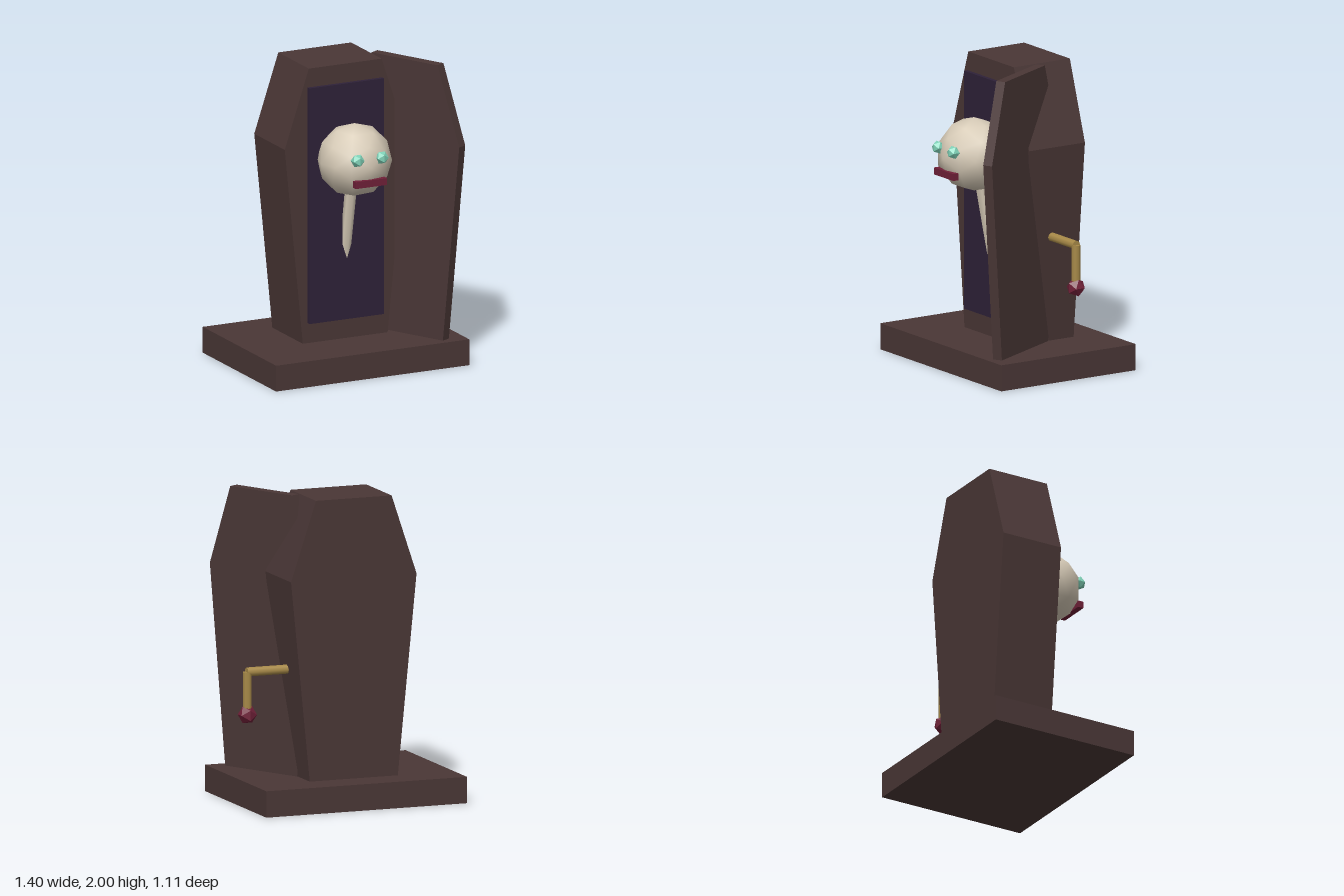
import * as THREE from 'three';

const material = (name, color) => {
  const m = new THREE.MeshStandardMaterial({ color });
  m.name = name;
  return m;
};

export function createModel() {
  const model = new THREE.Group();
  model.name = 'coffinToy';
  const wood = material('darkWood', 0x4a3736);
  const lining = material('purpleLining', 0x2e2138);
  const bone = material('bone', 0xd8ccb8);
  const mint = material('mintGreen', 0x7fd0b6);
  const red = material('darkRed', 0x702038);
  const brass = material('brass', 0xa88a48);

  const add = (name, geometry, mat, x, y, z) => {
    const mesh = new THREE.Mesh(geometry, mat);
    mesh.name = name;
    mesh.position.set(x, y, z);
    model.add(mesh);
    return mesh;
  };

  // Six-sided coffin outline, used for both the body and the lid
  const outline = new THREE.Shape([
    [-0.305, 0.17], [0.305, 0.17], [0.435, 1.48],
    [0.262, 2], [-0.262, 2], [-0.435, 1.48],
  ].map(([x, y]) => new THREE.Vector2(x, y)));
  const board = (depth) =>
    new THREE.ExtrudeGeometry(outline, { depth, bevelEnabled: false });

  // Plinth, coffin and its lining
  add('base', new THREE.BoxGeometry(1.39, 0.172, 1.04), wood, -0.005, 0.086, -0.038);
  add('coffinBody', board(0.433), wood, -0.005, 0, -0.34);
  add('liningPanel', new THREE.BoxGeometry(0.536, 1.57, 0.06), lining, -0.007, 1.09, 0.09);

  // Open lid swung out to the side
  const lid = add('lid', board(0.065).translate(0, 0, -0.065), wood, 0.386, 0, 0.1625);
  lid.rotation.y = -1.1;

  // Head on a slanted spine that runs back into the lining
  add('head', new THREE.IcosahedronGeometry(0.242, 1), bone, -0.005, 1.395, 0.225);
  const top = new THREE.Vector3(-0.006, 1.36, 0.207);
  const bottom = new THREE.Vector3(-0.006, 0.62, 0.067);
  const axis = top.clone().sub(bottom);
  const mid = top.clone().add(bottom).multiplyScalar(0.5);
  const spine = add('spine', new THREE.CylinderGeometry(0.039, 0.035, axis.length(), 6), bone,
    mid.x, mid.y, mid.z);
  spine.rotation.x = Math.atan2(axis.z, axis.y);

  // Face
  for (const side of [-1, 1]) {
    add(side < 0 ? 'rightEye' : 'leftEye', new THREE.IcosahedronGeometry(0.045, 0), mint,
      -0.006 + side * 0.087, 1.45, 0.442);
  }
  add('mouth', new THREE.BoxGeometry(0.225, 0.045, 0.04), red, -0.003, 1.292, 0.442);

  // Crank on the model's left side
  const axle = add('crankAxle', new THREE.CylinderGeometry(0.03, 0.03, 0.305, 8), brass,
    0.4975, 0.875, -0.125);
  axle.rotation.z = Math.PI / 2;
  add('crankArm', new THREE.CylinderGeometry(0.03, 0.03, 0.275, 8), brass, 0.645, 0.7375, -0.125);
  add('crankKnob', new THREE.IcosahedronGeometry(0.063, 0), red, 0.645, 0.597, -0.125);

  return model;
}
